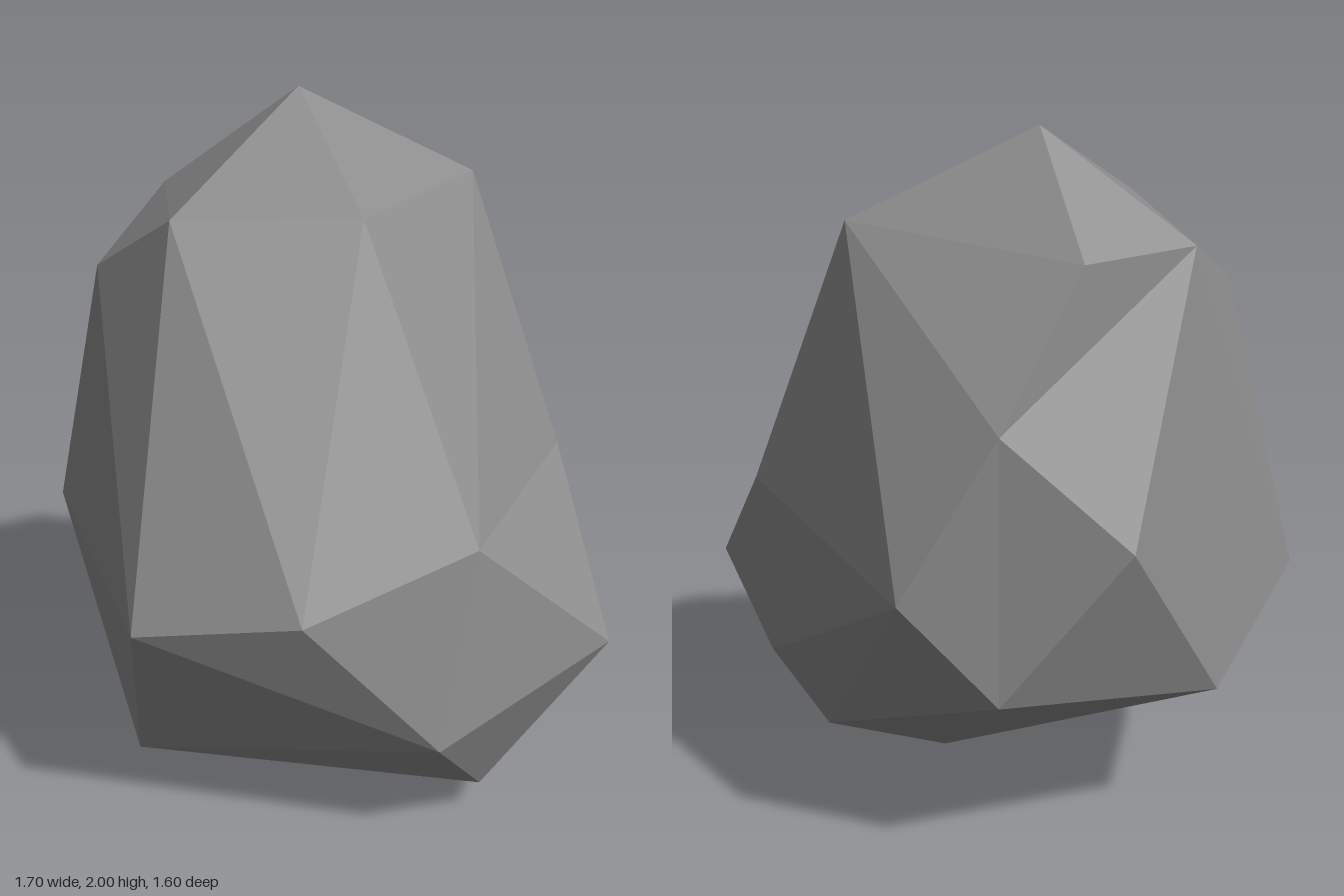
import * as THREE from 'three';

// Corners of the boulder, listed from the crown down to the base
const corners = {
  // crown
  A: [-0.29, 2.0, -0.19], B: [-0.26, 1.73, 0.39], C: [0.14, 1.73, 0.04], D: [0.12, 1.755, -0.5],
  E: [-0.67, 1.69, -0.01], F: [-0.59, 1.53, 0.36], U: [-0.53, 1.69, -0.36], T: [-0.445, 1.29, -0.63],
  // waist
  G: [-0.85, 0.715, 0.32], H: [-0.06, 0.68, 0.8], I: [0.37, 0.76, 0.58], J: [0.63, 0.91, 0.14],
  K: [0.85, 0.555, -0.21], S: [0.455, 0.97, -0.51], R: [-0.24, 0.84, -0.8], Q: [-0.755, 0.985, -0.47],
  // foot
  L: [0.63, 0.345, 0.3], M: [-0.25, 0.155, 0.605], N: [0.115, 0, -0.055], O: [0.59, 0.095, 0.04],
  P: [-0.82, 0.46, -0.08], V: [-0.46, 0.545, -0.65], W: [0.255, 0.215, -0.46], X: [0.41, 0.44, -0.52],
};

// Facets as fans: a hub corner followed by the corners around it
const fans = [
  'A EBCDUE',  // crown
  'E UTQPGFB', // right shoulder
  'D CJSRTU',  // back shoulder
  'B IC',      // front shoulder
  'H BFGMLIB', // front
  'J SKLIC',   // left side
  'X RSKWR',   // back left
  'V TRWNPQT', // back right
  'O LKWNML',  // left underside
  'M NPG',     // right underside
];

function boulderGeometry() {
  const centre = new THREE.Vector3(0, 0.9, 0);
  const points = [];
  const corner = (name) => new THREE.Vector3(...corners[name]);
  for (const fan of fans) {
    const [hub, ring] = fan.split(' ');
    for (let i = 0; i + 1 < ring.length; i++) {
      const a = corner(hub), b = corner(ring[i]), c = corner(ring[i + 1]);
      // turn every facet outward
      const normal = b.clone().sub(a).cross(c.clone().sub(a));
      const middle = a.clone().add(b).add(c).divideScalar(3);
      const outward = normal.dot(middle.sub(centre)) > 0;
      points.push(a, ...(outward ? [b, c] : [c, b]));
    }
  }
  const geometry = new THREE.BufferGeometry().setFromPoints(points);
  geometry.computeVertexNormals();
  return geometry;
}

export function createModel() {
  const stone = new THREE.MeshStandardMaterial({ color: 0x8c8c8c });
  stone.name = 'stoneGrey';
  stone.flatShading = true;

  const boulder = new THREE.Mesh(boulderGeometry(), stone);
  boulder.name = 'boulder';

  const model = new THREE.Group();
  model.name = 'rock';
  model.add(boulder);
  return model;
}
